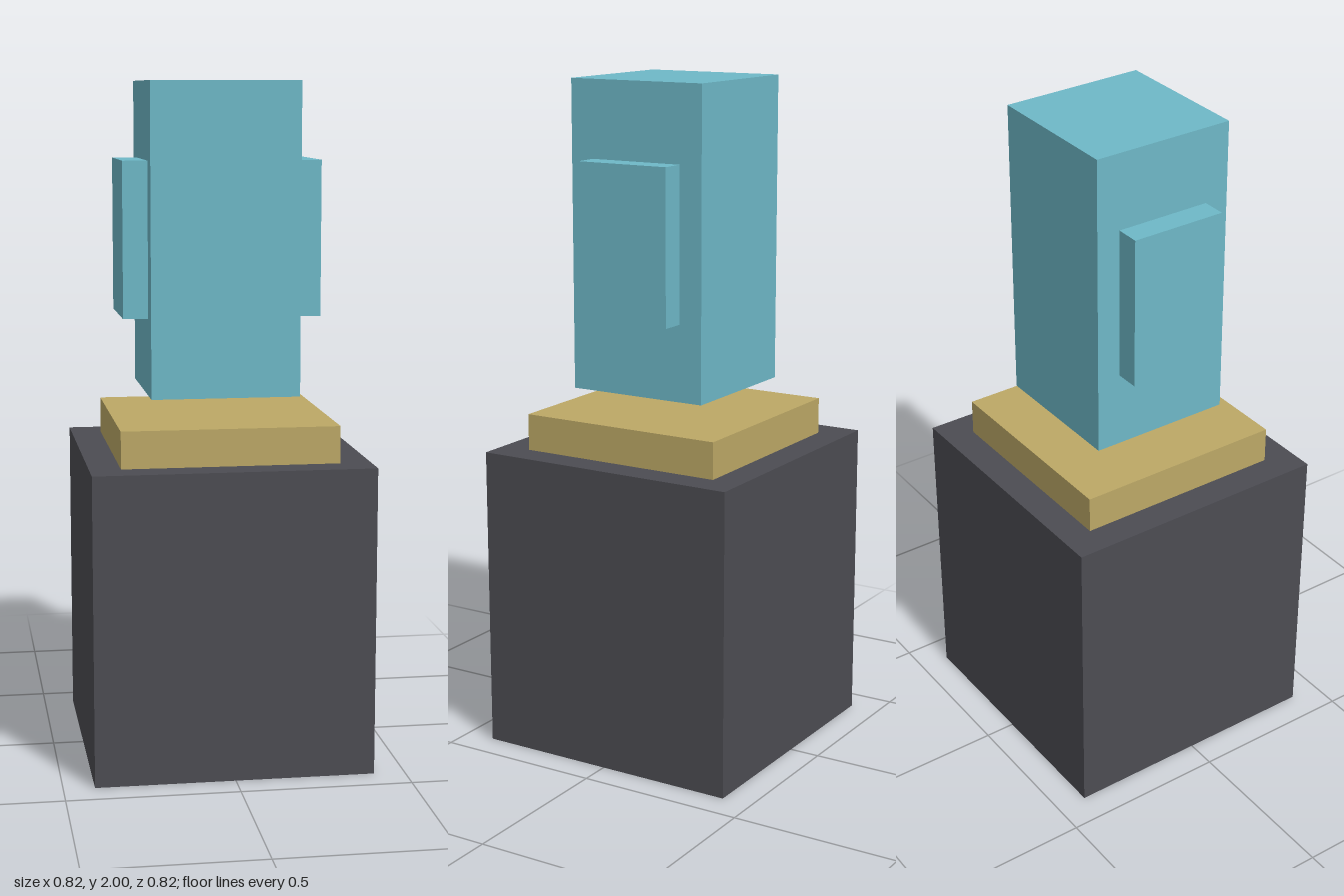
import * as THREE from 'three';

export function createModel() {
  const model = new THREE.Group();
  model.name = 'pedestalTower';

  const material = (name, color) => {
    const m = new THREE.MeshStandardMaterial({ color });
    m.name = name;
    return m;
  };
  const charcoal = material('charcoal', 0x4c4c52);
  const gold = material('gold', 0xbca866);
  const teal = material('teal', 0x6eb8c7);

  // Box centred on x and z = 0 unless shifted, spanning y0 to y1
  const block = (name, mat, width, depth, y0, y1, x = 0) => {
    const mesh = new THREE.Mesh(new THREE.BoxGeometry(width, y1 - y0, depth), mat);
    mesh.name = name;
    mesh.position.set(x, (y0 + y1) / 2, 0);
    model.add(mesh);
  };

  // Plinth and its trim slab
  block('plinth', charcoal, 0.818, 0.818, 0, 0.909);
  block('trimSlab', gold, 0.636, 0.636, 0.909, 1.018);

  // Tower hovering just above the slab
  block('tower', teal, 0.436, 0.436, 1.091, 2);

  // Mirrored side panels
  for (const [name, side] of [['leftPanel', 1], ['rightPanel', -1]]) {
    block(name, teal, 0.073, 0.291, 1.318, 1.773, side * 0.2545);
  }

  return model;
}
